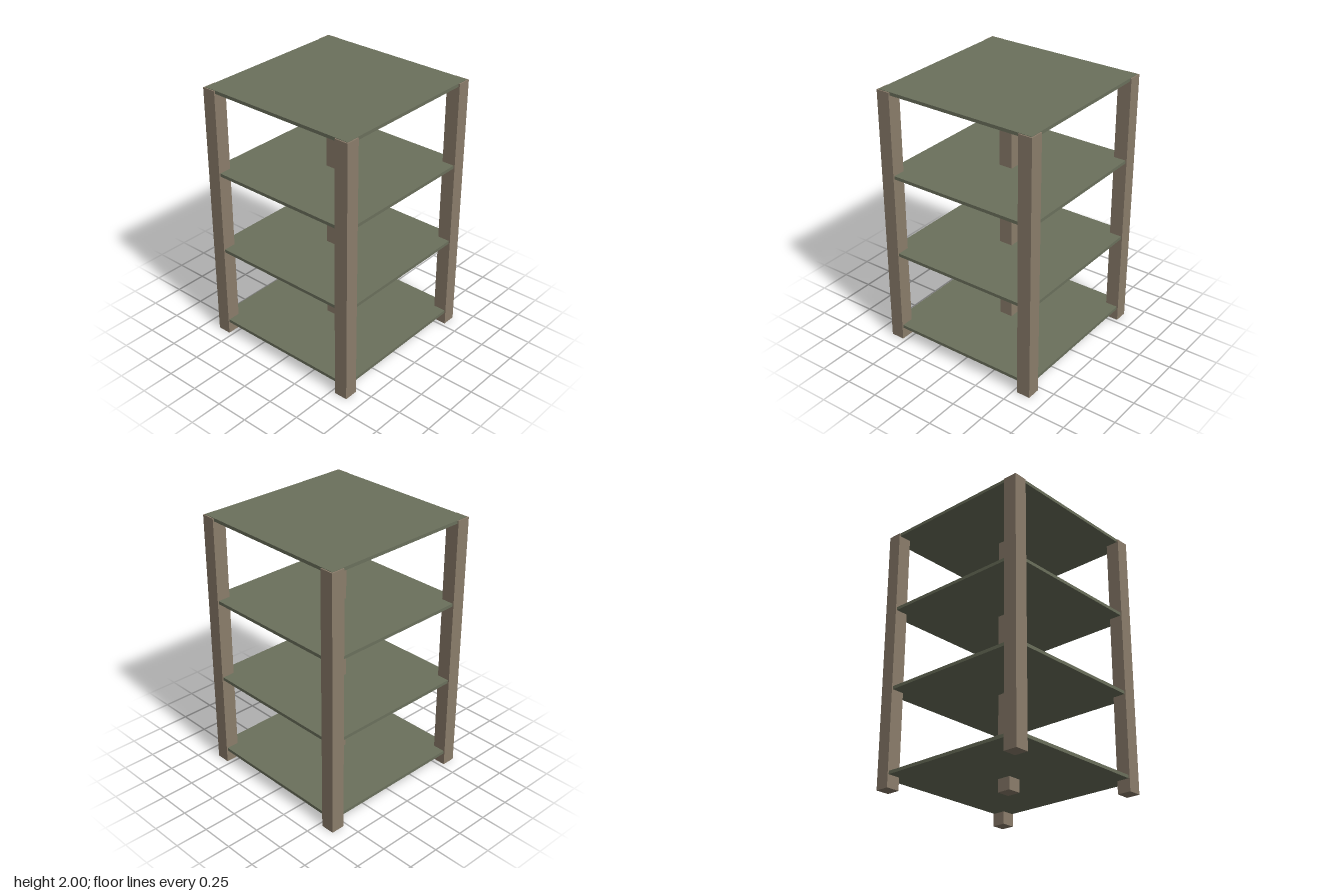
import * as THREE from 'three';

const POST = 0.105;        // post side
const POST_HEIGHT = 1.997;
const SHELF = 1.252;       // shelf side
const SHELF_THICK = 0.024;
const OFFSET = 0.583;      // corner post centre

export function createModel() {
  const wood = new THREE.MeshStandardMaterial({ color: 0x8b7d6b });
  wood.name = 'brown wood';
  const board = new THREE.MeshStandardMaterial({ color: 0x6b705c });
  board.name = 'olive board';

  const model = new THREE.Group();
  model.name = 'shelfUnit';

  const addBox = (name, material, w, h, d, x, y, z) => {
    const mesh = new THREE.Mesh(new THREE.BoxGeometry(w, h, d), material);
    mesh.name = name;
    mesh.position.set(x, y, z);
    model.add(mesh);
  };

  // Four corner posts and one central post
  const posts = [
    ['frontLeftPost', 1, 1], ['frontRightPost', -1, 1],
    ['backLeftPost', 1, -1], ['backRightPost', -1, -1],
    ['centrePost', 0, 0],
  ];
  for (const [name, sx, sz] of posts) {
    addBox(name, wood, POST, POST_HEIGHT, POST, sx * OFFSET, POST_HEIGHT / 2, sz * OFFSET);
  }

  // Four evenly spaced shelves, the top one capping the posts
  for (let i = 0; i < 4; i++) {
    const top = 2 - (3 - i) * 0.627;
    addBox(`shelf${i + 1}`, board, SHELF, SHELF_THICK, SHELF, 0, top - SHELF_THICK / 2, 0);
  }

  return model;
}
